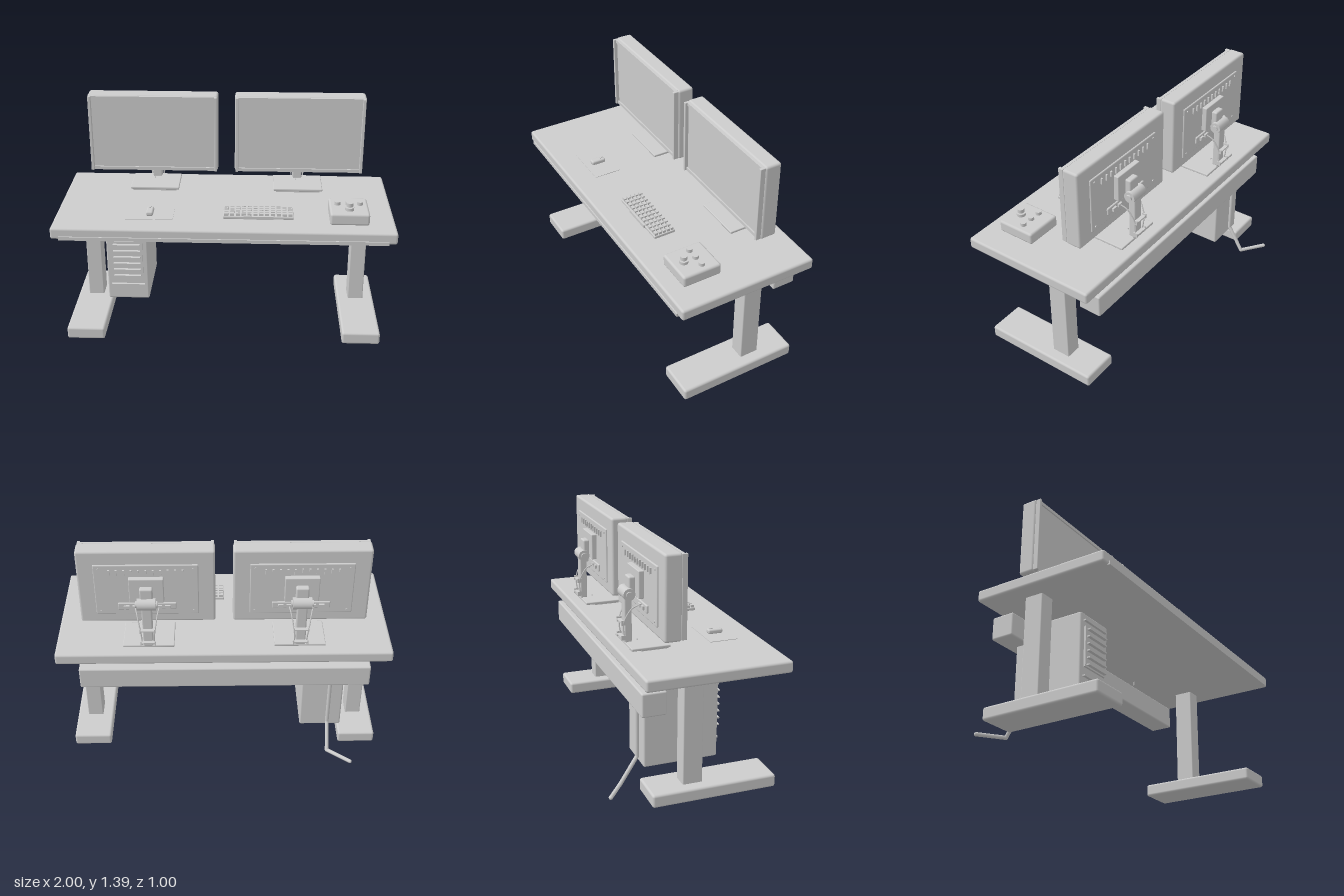
import * as THREE from 'three';
import { RoundedBoxGeometry } from 'three/addons/geometries/RoundedBoxGeometry.js';

const grey = new THREE.MeshStandardMaterial({ color: 0xcccccc });
grey.name = 'light grey';

function add(parent, name, geometry) {
  const mesh = new THREE.Mesh(geometry, grey);
  mesh.name = name;
  parent.add(mesh);
  return mesh;
}

// Box given by its lower and upper limits; r rounds the edges
function box(parent, name, [x0, x1], [y0, y1], [z0, z1], r = 0) {
  const w = x1 - x0, h = y1 - y0, d = z1 - z0;
  const g = r ? new RoundedBoxGeometry(w, h, d, 2, r) : new THREE.BoxGeometry(w, h, d);
  const mesh = add(parent, name, g);
  mesh.position.set((x0 + x1) / 2, (y0 + y1) / 2, (z0 + z1) / 2);
  return mesh;
}

function cylinder(parent, name, r, h, x, y, z, axis = 'y') {
  const mesh = add(parent, name, new THREE.CylinderGeometry(r, r, h, 24));
  mesh.position.set(x, y, z);
  if (axis === 'x') mesh.rotation.z = Math.PI / 2;
  if (axis === 'z') mesh.rotation.x = Math.PI / 2;
  return mesh;
}

function tube(parent, name, points, r) {
  const curve = new THREE.CatmullRomCurve3(points.map(p => new THREE.Vector3(...p)));
  return add(parent, name, new THREE.TubeGeometry(curve, 24, r, 6));
}

// Straight round bar between two points, with a ball at the far end
function bar(parent, name, a, b, r) {
  const p = new THREE.Vector3(...a), q = new THREE.Vector3(...b);
  const mesh = add(parent, name, new THREE.CylinderGeometry(r, r, p.distanceTo(q), 12));
  mesh.position.copy(p).lerp(q, 0.5);
  mesh.quaternion.setFromUnitVectors(new THREE.Vector3(0, 1, 0), q.clone().sub(p).normalize());
  add(parent, name + 'Joint', new THREE.SphereGeometry(r, 12, 8)).position.copy(q);
}

function group(parent, name) {
  const g = new THREE.Group();
  g.name = name;
  parent.add(g);
  return g;
}

function buildDesk(root) {
  const desk = group(root, 'desk');
  box(desk, 'tabletop', [-1, 1], [0.715, 0.785], [-0.36, 0.49], 0.014);
  box(desk, 'frontTrim', [-0.95, 0.95], [0.713, 0.735], [0.48, 0.497]);
  for (const x of [-0.842, 0.835]) {
    box(desk, 'leg', [x - 0.048, x + 0.048], [0.07, 0.72], [-0.105, 0.012], 0.006);
    box(desk, 'foot', [x - 0.115, x + 0.115], [0.008, 0.085], [-0.305, 0.437], 0.014);
  }
  box(desk, 'rearBeam', [-0.88, 0.87], [0.52, 0.66], [-0.342, -0.197], 0.01);
  // Height crank hanging behind the beam
  const crank = [[-0.65, 0.53, -0.29], [-0.65, 0.18, -0.29], [-0.65, 0.022, -0.39], [-0.785, 0.022, -0.492]];
  for (let i = 0; i < 3; i++) bar(desk, 'crank', crank[i], crank[i + 1], 0.012);
}

function buildTower(root) {
  const tower = group(root, 'computerTower');
  box(tower, 'towerCase', [-0.735, -0.478], [0.145, 0.628], [-0.28, 0.166], 0.01);
  box(tower, 'frontPanel', [-0.703, -0.51], [0.305, 0.548], [0.16, 0.178]);
  for (let i = 0; i < 6; i++) {
    const y = 0.318 + i * 0.0425;
    box(tower, 'ventSlat', [-0.69, -0.523], [y - 0.004, y + 0.004], [0.176, 0.198]);
  }
  for (const y of [0.25, 0.582]) box(tower, 'frontGroove', [-0.71, -0.503], [y - 0.004, y + 0.004], [0.16, 0.182]);
}

function buildMonitor(root, x) {
  const m = group(root, 'monitor');
  m.position.x = x;
  // Housing, screen and bezel
  box(m, 'housing', [-0.396, 0.396], [0.915, 1.4], [-0.202, -0.102], 0.014);
  box(m, 'screen', [-0.375, 0.375], [0.932, 1.383], [-0.103, -0.094]);
  for (const s of [-1, 1]) {
    box(m, 'sideBezel', s < 0 ? [-0.391, -0.373] : [0.373, 0.391], [0.92, 1.395], [-0.104, -0.072], 0.003);
    const y = 1.1575 + s * 0.2275;
    box(m, 'bezel', [-0.375, 0.375], [y - 0.01, y + 0.01], [-0.104, -0.085]);
  }
  // Back panel with vents, port strip and screws
  box(m, 'backPanel', [-0.3, 0.3], [0.975, 1.315], [-0.211, -0.195], 0.006);
  for (let i = 0; i < 11; i++) {
    const vx = -0.21 + i * 0.042;
    box(m, 'ventSlot', [vx - 0.005, vx + 0.005], [1.25, 1.285], [-0.221, -0.208]);
  }
  box(m, 'portStrip', [-0.17, 0.17], [1.015, 1.06], [-0.222, -0.208], 0.006);
  for (const px of [-0.12, -0.07, 0.07, 0.12]) box(m, 'port', [px - 0.016, px + 0.016], [1.027, 1.047], [-0.234, -0.218]);
  for (const sx of [-0.27, 0.27]) for (const sy of [1.0, 1.29]) cylinder(m, 'screw', 0.006, 0.008, sx, sy, -0.212, 'z');
  // Mount, tilting joint and column
  box(m, 'mountPlate', [-0.1, 0.1], [1.078, 1.238], [-0.242, -0.208], 0.005);
  box(m, 'neck', [-0.038, 0.038], [1.068, 1.192], [-0.278, -0.238], 0.01);
  cylinder(m, 'tiltJoint', 0.035, 0.11, 0, 1.094, -0.28, 'x');
  cylinder(m, 'tiltPin', 0.019, 0.13, 0, 1.094, -0.28, 'x');
  box(m, 'column', [-0.03, 0.03], [0.808, 1.075], [-0.302, -0.257], 0.008);
  // Cable guides and cables
  for (const y of [0.842, 0.93]) {
    box(m, 'cableGuide', [-0.045, 0.045], [y - 0.004, y + 0.004], [-0.325, -0.298]);
    for (const s of [-0.042, 0.042]) box(m, 'guideTab', [s - 0.003, s + 0.003], [y - 0.014, y + 0.014], [-0.325, -0.298]);
  }
  for (const s of [-1, 1]) {
    tube(m, 'cable', [[s * 0.07, 1.037, -0.23], [s * 0.06, 1.015, -0.268], [s * 0.045, 0.94, -0.308],
      [s * 0.037, 0.88, -0.31], [s * 0.037, 0.812, -0.295]], 0.004);
  }
  cylinder(m, 'cableDrop', 0.003, 0.13, -0.012, 0.755, -0.222);
  // Base
  box(m, 'base', [-0.152, 0.152], [0.795, 0.811], [-0.3, -0.07], 0.005);
  box(m, 'basePad', [-0.135, 0.135], [0.784, 0.797], [-0.24, -0.08]);
}

function buildKeyboard(root) {
  const k = group(root, 'keyboard');
  box(k, 'keyboardBody', [-0.005, 0.408], [0.785, 0.803], [0.19, 0.325], 0.004);
  const cols = 12, rows = 5;
  for (let r = 0; r < rows; r++) {
    for (let c = 0; c < cols; c++) {
      const x = 0.013 + c * 0.0343, z = 0.205 + r * 0.0262;
      box(k, 'key', [x - 0.012, x + 0.012], [0.802, 0.819], [z - 0.009, z + 0.009]);
    }
  }
  box(k, 'spaceBar', [0.115, 0.29], [0.787, 0.806], [0.318, 0.332]);
}

function buildMouse(root) {
  const m = group(root, 'mouse');
  box(m, 'mousePad', [-0.58, -0.3], [0.784, 0.788], [0.18, 0.35]);
  box(m, 'mouseBody', [-0.462, -0.42], [0.787, 0.815], [0.22, 0.31], 0.01);
  box(m, 'mouseWheel', [-0.445, -0.437], [0.808, 0.819], [0.232, 0.25]);
}

function buildController(root) {
  const c = group(root, 'controlBox');
  box(c, 'controlCase', [0.617, 0.846], [0.785, 0.857], [0.153, 0.391], 0.014);
  for (const x of [0.665, 0.731, 0.797]) cylinder(c, 'button', 0.018, 0.024, x, 0.865, 0.25);
  cylinder(c, 'knobCollar', 0.026, 0.025, 0.731, 0.8625, 0.325);
  cylinder(c, 'knobStem', 0.01, 0.02, 0.731, 0.877, 0.325);
  cylinder(c, 'knob', 0.02, 0.023, 0.731, 0.892, 0.325);
}

export function createModel() {
  const root = new THREE.Group();
  root.name = 'workstation';
  buildDesk(root);
  buildTower(root);
  for (const x of [-0.449, 0.446]) buildMonitor(root, x);
  buildKeyboard(root);
  buildMouse(root);
  buildController(root);
  return root;
}
